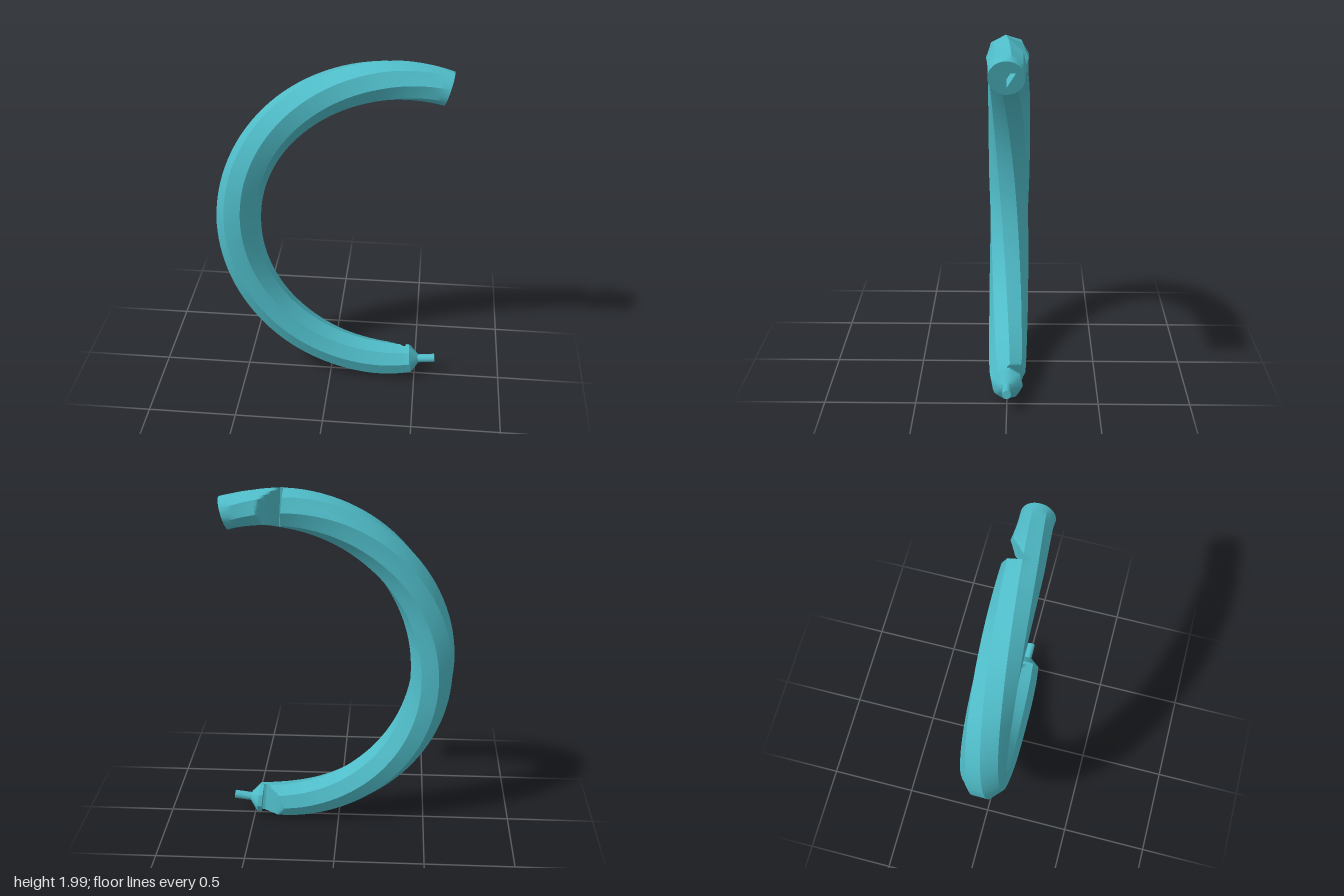
import * as THREE from 'three';
import { toCreasedNormals } from 'three/addons/utils/BufferGeometryUtils.js';

const CX = 0.365, CY = 1.0, ARC = 0.89;      // arc that the tube follows
const START = 73.7, END = 280;               // degrees, upper end to lower end
const SIDES = 8, PER_SIDE = 3, N = SIDES * PER_SIDE;
const rad = THREE.MathUtils.degToRad;
const lerp = THREE.MathUtils.lerp;

// Straight-line interpolation through [x, y] pairs
function sample(table, x) {
  for (let i = 1; i < table.length; i++) {
    const [x0, y0] = table[i - 1], [x1, y1] = table[i];
    if (x <= x1) return lerp(y0, y1, THREE.MathUtils.clamp((x - x0) / (x1 - x0), 0, 1));
  }
  return table[table.length - 1][1];
}

const RADIUS = [[START, 0.092], [84, 0.1], [95, 0.11], [130, 0.12], [180, 0.126],
  [230, 0.117], [262, 0.105], [270, 0.098], [277, 0.086], [END, 0.026]];
const ROUNDNESS = [[START, 1], [79, 0], [276, 0], [END, 1]];
const UPPER_NOTCH = { from: 84.5, to: 94.2, floor: [[84.5, -0.11], [93.2, 0.005], [94.2, 0.005]] };
const LOWER_NOTCH = { from: 266, to: 275.5, floor: [[266, -0.11], [274.5, 0], [275.5, 0]] };

// Twist of the eight-sided section along the arc, in degrees
function twist(t) {
  const s = (t - 95) / 87;
  return 73 * s - 12 * s * s;
}

function frame(t) {
  const c = Math.cos(rad(t)), s = Math.sin(rad(t));
  return { centre: new THREE.Vector3(CX + ARC * c, CY + ARC * s, 0), out: new THREE.Vector3(c, s, 0) };
}

// One section of the tube; a floor flattens its back where a notch is cut
function ring(t, floor = -1) {
  const { centre, out } = frame(t), r = sample(RADIUS, t), k = sample(ROUNDNESS, t);
  const half = 180 / SIDES, points = [];
  for (let j = 0; j < N; j++) {
    const local = (j % PER_SIDE) * (2 * half / PER_SIDE) - half;
    const poly = r * Math.cos(rad(half)) / Math.cos(rad(local));
    const d = lerp(poly, r, k), a = rad(twist(t) + j * 360 / N);
    const p = centre.clone().addScaledVector(out, d * Math.cos(a));
    p.z = Math.max(d * Math.sin(a), floor);
    points.push(p);
  }
  return points;
}

function tubeGeometry() {
  const rings = [];
  const run = (a, b, n, floor) => {
    for (let i = 0; i <= n; i++) {
      const t = lerp(a, b, i / n);
      rings.push(ring(t, floor ? sample(floor, t) : -1));
    }
  };
  const U = UPPER_NOTCH, L = LOWER_NOTCH;
  run(START, U.from - 0.1, 6);
  run(U.from, U.to, 20, U.floor);
  run(U.to, L.from - 0.1, 60);
  run(L.from, L.to, 20, L.floor);
  run(L.to, 277, 2);
  run(277.2, END, 3);

  const pos = [], index = [];
  for (const r of rings) for (const p of r) pos.push(p.x, p.y, p.z);
  for (let i = 0; i < rings.length - 1; i++) {
    for (let j = 0; j < N; j++) {
      const a = i * N + j, b = i * N + (j + 1) % N;
      index.push(a, a + N, b, b, a + N, b + N);
    }
  }
  const g = new THREE.BufferGeometry();
  g.setAttribute('position', new THREE.Float32BufferAttribute(pos, 3));
  g.setIndex(index);
  return toCreasedNormals(g, 0.5);
}

export function createModel() {
  const model = new THREE.Group();
  model.name = 'openRing';
  const material = new THREE.MeshStandardMaterial({ color: 0x4fbcc8, side: THREE.DoubleSide });
  const add = (name, geometry, parent = model) => {
    const mesh = new THREE.Mesh(geometry, material);
    mesh.name = name;
    parent.add(mesh);
    return mesh;
  };

  add('twistedTube', tubeGeometry());

  // Upper end: round face with a triangular socket
  const { centre, out } = frame(START);
  const socketEnd = new THREE.Group();
  socketEnd.name = 'socketEnd';
  const across = new THREE.Vector3(0, 0, -1);
  socketEnd.quaternion.setFromRotationMatrix(
    new THREE.Matrix4().makeBasis(across, out, across.clone().cross(out)));
  socketEnd.position.copy(centre);
  model.add(socketEnd);

  const hole = 0.055, depth = 0.09;
  const face = new THREE.Shape().absarc(0, 0, 0.092, 0, Math.PI * 2);
  face.holes.push(new THREE.Path([0, 1, 2].map(i => {
    const a = -Math.PI / 2 - i * Math.PI * 2 / 3;
    return new THREE.Vector2(hole * Math.cos(a), hole * Math.sin(a));
  })).closePath());
  add('endFace', new THREE.ShapeGeometry(face, 24), socketEnd);
  const walls = new THREE.CylinderGeometry(hole, hole, depth, 3, 1, true).toNonIndexed();
  walls.computeVertexNormals();
  add('socketWalls', walls.rotateX(Math.PI / 2).translate(0, 0, -depth / 2), socketEnd);
  add('socketFloor', new THREE.CircleGeometry(hole, 3, -Math.PI / 2).translate(0, 0, -depth), socketEnd);

  // Lower end: small pin
  const a = new THREE.Vector3(0.495, 0.115, 0), b = new THREE.Vector3(0.617, 0.13, 0);
  const dir = b.clone().sub(a);
  const pin = add('pin', toCreasedNormals(new THREE.CylinderGeometry(0.024, 0.024, dir.length(), 12), 0.7));
  pin.position.copy(a).add(b).multiplyScalar(0.5);
  pin.quaternion.setFromUnitVectors(new THREE.Vector3(0, 1, 0), dir.normalize());

  return model;
}
